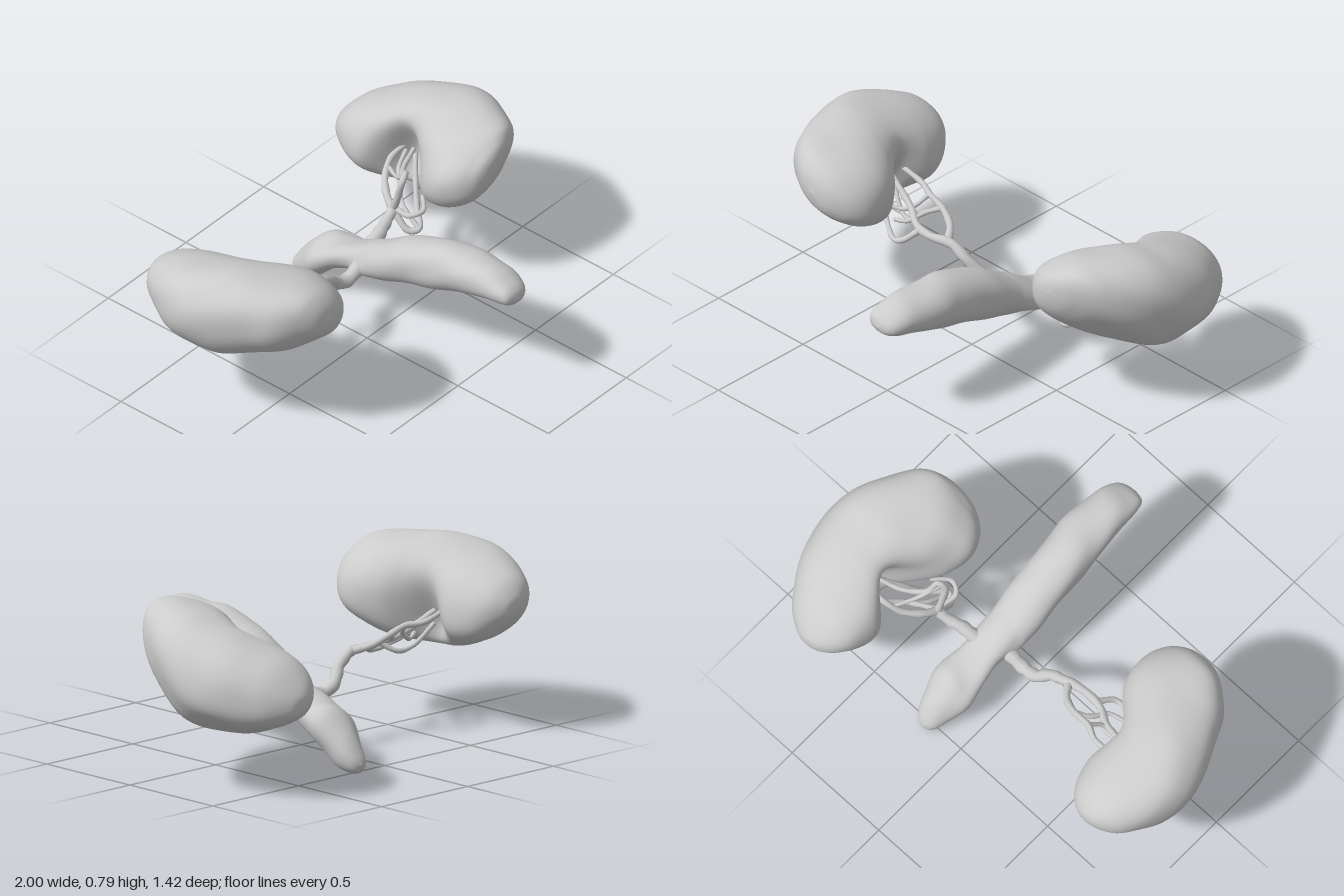
import * as THREE from 'three';
import { mergeVertices } from 'three/addons/utils/BufferGeometryUtils.js';

const material = new THREE.MeshStandardMaterial({ color: 0xcccccc, roughness: 0.7, side: THREE.DoubleSide });
const V = (x, y, z) => new THREE.Vector3(x, y, z);

// Soft organic unevenness
const lumps = (p, f) =>
  Math.sin(p.x * f + p.y * f * 0.7) * Math.sin(p.z * f * 0.9 + 1) + 0.6 * Math.sin(p.y * f * 1.5 - p.z * f * 1.2 + p.x * f);

// Slightly fuller than a circle
const plump = v => Math.sign(v) * Math.abs(v) ** 0.92;

// Closed body lofted through sections [xMin, zAtMin, xMax, zAtMax, yCentre, halfHeight].
// tilt raises the +x edge (back value, front value); dent(t, angle) shifts the surface along x.
function loft(sections, { tilt = [0, 0], bump = () => 0.004, freq = 16, dent = () => 0 } = {}) {
  const spline = f => new THREE.CatmullRomCurve3(sections.map(f), false, 'catmullrom');
  const low = spline(s => V(s[0], 0, s[1]));
  const high = spline(s => V(s[2], 0, s[3]));
  const rise = spline(s => V(s[4], s[5], 0));
  const rings = (sections.length - 1) * 7, sides = 64, pos = [], index = [];
  for (let i = 0; i <= rings; i++) {
    const t = i / rings;
    const a = low.getPoint(t), b = high.getPoint(t), r = rise.getPoint(t);
    const mid = a.clone().add(b).multiplyScalar(0.5), half = b.clone().sub(a).multiplyScalar(0.5);
    const full = Math.min(1, half.length() / 0.15);
    const lean = THREE.MathUtils.lerp(tilt[0], tilt[1], t) * full;
    for (let j = 0; j < sides; j++) {
      const ang = (j / sides) * Math.PI * 2, c = plump(Math.cos(ang)), s = plump(Math.sin(ang));
      const p = mid.clone().addScaledVector(half, c);
      p.y = r.x + s * r.y + c * lean;
      const n = bump(t) * lumps(p, freq) * full;
      p.x += c * n + dent(t * (sections.length - 1), ang);
      p.y += s * n;
      pos.push(p.x, p.y, p.z);
    }
  }
  for (let i = 0; i < rings; i++) {
    for (let j = 0; j < sides; j++) {
      const k = (j + 1) % sides;
      const a = i * sides + j, b = i * sides + k, c = a + sides, d = b + sides;
      index.push(a, b, c, b, d, c);
    }
  }
  const g = new THREE.BufferGeometry();
  g.setAttribute('position', new THREE.Float32BufferAttribute(pos, 3));
  g.setIndex(index);
  const merged = mergeVertices(g, 1e-5);
  merged.computeVertexNormals();
  return merged;
}

// Tapering, slightly knobbly blood vessel
function vessel(points, r0, r1) {
  const curve = new THREE.CatmullRomCurve3(points.map(p => V(...p)));
  const segs = points.length * 8, sides = 10;
  const g = new THREE.TubeGeometry(curve, segs, 1, sides, false);
  const pos = g.attributes.position, p = V(0, 0, 0);
  for (let i = 0; i <= segs; i++) {
    const centre = curve.getPointAt(i / segs);
    const r = THREE.MathUtils.lerp(r0, r1, i / segs) * (1 + 0.08 * Math.sin(i * 0.7));
    for (let j = 0; j <= sides; j++) {
      const k = i * (sides + 1) + j;
      p.fromBufferAttribute(pos, k).sub(centre).multiplyScalar(r).add(centre);
      pos.setXYZ(k, p.x, p.y, p.z);
    }
  }
  return g;
}

// Hollow on the inner side of a kidney, pushed along x by depth around section at and angle centre
const hilum = (depth, at, centre) => (t, ang) =>
  depth * Math.exp(-(((t - at) / 1.05) ** 2)) * Math.max(0, Math.cos(ang - centre)) ** 4;

export function createModel() {
  const model = new THREE.Group();
  const add = (name, geometry, parent = model) => {
    const mesh = new THREE.Mesh(geometry, material);
    mesh.name = name;
    parent.add(mesh);
  };

  // Kidneys, from back pole to front pole
  add('leftKidney', loft([
    [0.69, -0.715, 0.69, -0.715, 0.415, 0],
    [0.635, -0.705, 0.745, -0.705, 0.42, 0.045],
    [0.565, -0.66, 0.82, -0.66, 0.432, 0.095],
    [0.515, -0.59, 0.88, -0.60, 0.445, 0.14],
    [0.495, -0.49, 0.945, -0.50, 0.455, 0.18],
    [0.51, -0.40, 0.985, -0.38, 0.47, 0.205],
    [0.535, -0.31, 1.00, -0.28, 0.485, 0.22],
    [0.51, -0.20, 0.985, -0.18, 0.51, 0.23],
    [0.46, -0.09, 0.95, -0.08, 0.54, 0.21],
    [0.43, 0.01, 0.89, 0.02, 0.57, 0.18],
    [0.455, 0.09, 0.82, 0.10, 0.595, 0.14],
    [0.505, 0.14, 0.745, 0.145, 0.61, 0.095],
    [0.56, 0.163, 0.685, 0.163, 0.62, 0.05],
    [0.62, 0.17, 0.62, 0.17, 0.62, 0],
  ], { tilt: [-0.03, 0.075], bump: () => 0.005, dent: hilum(0.16, 6, Math.PI + 0.1) }));

  add('rightKidney', loft([
    [-0.74, -0.52, -0.74, -0.52, 0.56, 0],
    [-0.795, -0.51, -0.685, -0.51, 0.56, 0.045],
    [-0.865, -0.475, -0.625, -0.47, 0.56, 0.095],
    [-0.915, -0.42, -0.58, -0.41, 0.555, 0.135],
    [-0.965, -0.33, -0.55, -0.32, 0.555, 0.175],
    [-0.99, -0.24, -0.545, -0.23, 0.56, 0.20],
    [-0.995, -0.16, -0.535, -0.15, 0.565, 0.213],
    [-0.98, -0.07, -0.50, -0.07, 0.57, 0.217],
    [-0.95, 0.02, -0.445, 0.01, 0.58, 0.205],
    [-0.905, 0.11, -0.415, 0.10, 0.592, 0.187],
    [-0.855, 0.20, -0.42, 0.19, 0.607, 0.16],
    [-0.785, 0.268, -0.465, 0.262, 0.62, 0.122],
    [-0.705, 0.314, -0.535, 0.312, 0.622, 0.07],
    [-0.62, 0.33, -0.62, 0.33, 0.62, 0],
  ], { tilt: [-0.03, -0.045], bump: () => 0.005, dent: hilum(-0.11, 6, -0.25) }));

  // Central artery: lumpy at the back, smooth and wedge-ended at the front
  add('aorta', loft([
    [0.18, -0.55, 0.18, -0.55, 0.045, 0],
    [0.135, -0.53, 0.22, -0.53, 0.048, 0.042],
    [0.105, -0.47, 0.25, -0.47, 0.09, 0.08],
    [0.075, -0.39, 0.27, -0.39, 0.155, 0.098],
    [0.075, -0.30, 0.275, -0.30, 0.205, 0.072],
    [0.085, -0.20, 0.26, -0.20, 0.25, 0.065],
    [0.06, -0.10, 0.25, -0.10, 0.29, 0.078],
    [0.05, 0.00, 0.255, 0.00, 0.335, 0.097],
    [0.05, 0.12, 0.265, 0.12, 0.39, 0.112],
    [0.05, 0.30, 0.27, 0.30, 0.45, 0.115],
    [0.06, 0.42, 0.28, 0.42, 0.475, 0.10],
    [0.065, 0.57, 0.26, 0.57, 0.497, 0.077],
    [0.075, 0.655, 0.24, 0.655, 0.493, 0.055],
    [0.092, 0.695, 0.205, 0.695, 0.487, 0.033],
    [0.145, 0.71, 0.145, 0.71, 0.483, 0],
  ], { tilt: [0, -0.02], bump: t => (t < 0.45 ? 0.009 : 0.003), freq: 26 }));

  // Renal vessels: a trunk on each side, splitting into a net that enters the hilum
  const trees = {
    leftRenalVessels: [
      [0.034, 0.021, [0.22, 0.28, -0.17], [0.29, 0.30, -0.18], [0.36, 0.315, -0.2], [0.415, 0.34, -0.21]],
      [0.018, 0.011, [0.41, 0.34, -0.21], [0.44, 0.37, -0.27], [0.50, 0.40, -0.33], [0.57, 0.44, -0.36], [0.67, 0.46, -0.36]],
      [0.016, 0.010, [0.41, 0.34, -0.21], [0.41, 0.43, -0.18], [0.415, 0.51, -0.16], [0.445, 0.53, -0.17], [0.47, 0.47, -0.21], [0.55, 0.45, -0.27], [0.66, 0.46, -0.31]],
      [0.016, 0.010, [0.41, 0.34, -0.21], [0.415, 0.265, -0.13], [0.45, 0.265, -0.10], [0.52, 0.29, -0.17], [0.58, 0.36, -0.23], [0.66, 0.44, -0.3]],
      [0.013, 0.009, [0.42, 0.34, -0.2], [0.40, 0.36, -0.11], [0.45, 0.37, -0.08], [0.52, 0.38, -0.14]],
      [0.013, 0.009, [0.42, 0.34, -0.21], [0.48, 0.34, -0.24], [0.54, 0.34, -0.28], [0.60, 0.38, -0.34], [0.66, 0.44, -0.35]],
      [0.010, 0.009, [0.43, 0.52, -0.16], [0.49, 0.44, -0.26], [0.54, 0.42, -0.345]],
      [0.010, 0.009, [0.45, 0.265, -0.1], [0.47, 0.32, -0.2], [0.52, 0.34, -0.27]],
    ],
    rightRenalVessels: [
      [0.033, 0.021, [0.09, 0.27, -0.12], [0.0, 0.245, -0.12], [-0.07, 0.275, -0.12], [-0.13, 0.335, -0.09], [-0.19, 0.375, -0.08], [-0.23, 0.385, -0.07]],
      [0.017, 0.011, [-0.22, 0.385, -0.08], [-0.27, 0.41, -0.14], [-0.34, 0.445, -0.17], [-0.43, 0.475, -0.18], [-0.50, 0.48, -0.21], [-0.62, 0.51, -0.21]],
      [0.020, 0.012, [-0.22, 0.385, -0.07], [-0.31, 0.38, -0.055], [-0.39, 0.39, -0.065], [-0.47, 0.42, -0.11], [-0.63, 0.5, -0.15]],
      [0.014, 0.009, [-0.36, 0.385, -0.06], [-0.40, 0.345, 0.01], [-0.44, 0.335, 0.02], [-0.52, 0.365, -0.02], [-0.6, 0.42, -0.08]],
      [0.012, 0.009, [-0.35, 0.445, -0.17], [-0.40, 0.42, -0.13], [-0.44, 0.39, -0.06], [-0.50, 0.38, -0.04]],
      [0.012, 0.009, [-0.39, 0.39, -0.065], [-0.45, 0.35, -0.11], [-0.53, 0.36, -0.12], [-0.62, 0.45, -0.16]],
      [0.010, 0.009, [-0.43, 0.475, -0.18], [-0.46, 0.43, -0.13], [-0.52, 0.39, -0.11], [-0.58, 0.4, -0.08]],
    ],
  };
  for (const [name, branches] of Object.entries(trees)) {
    const group = new THREE.Group();
    group.name = name;
    branches.forEach(([r0, r1, ...points], i) => add(i ? 'branch' : 'trunk', vessel(points, r0, r1), group));
    model.add(group);
  }
  return model;
}
